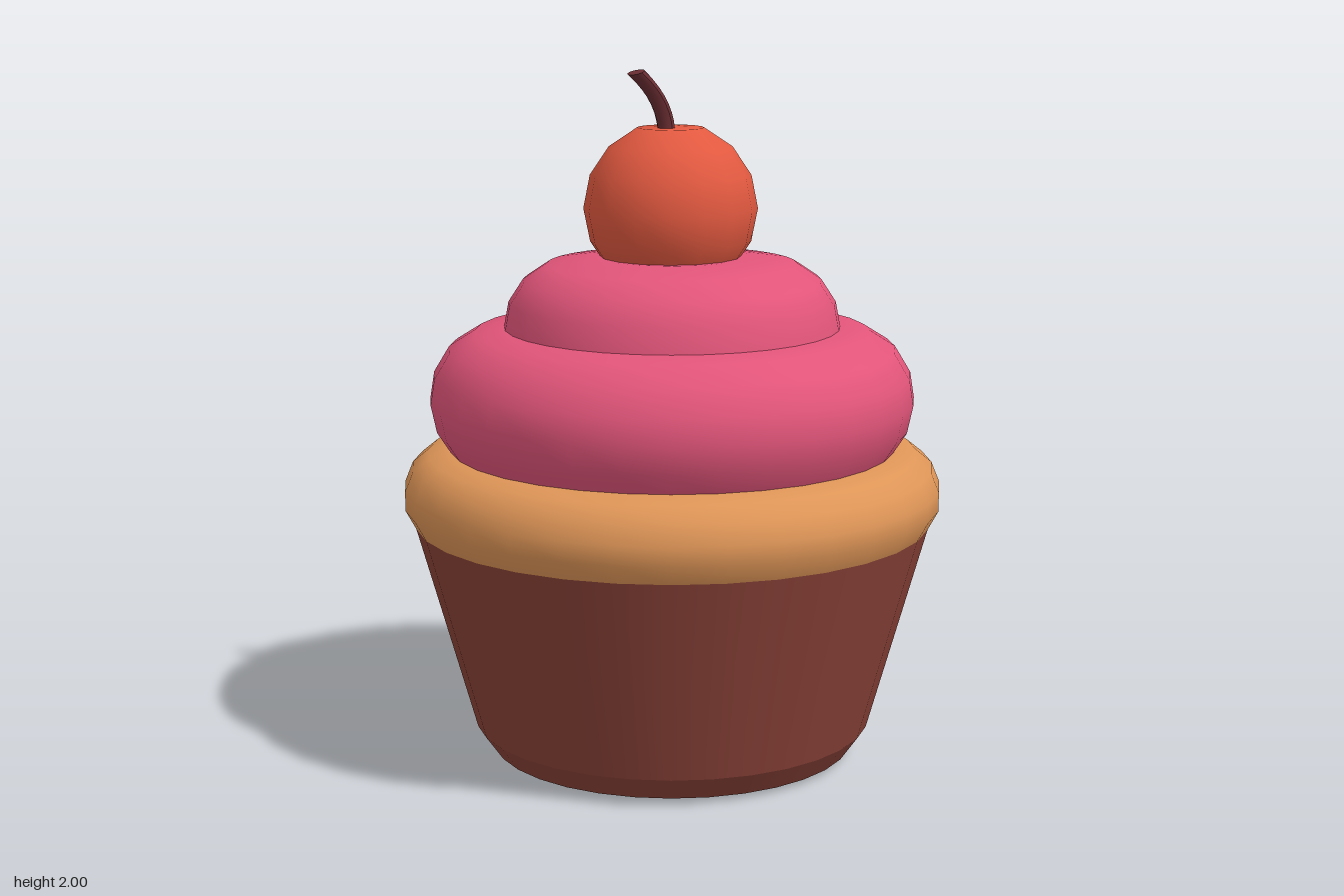
import * as THREE from 'three';

const SEGMENTS = 32;

function material(name, color) {
  const m = new THREE.MeshStandardMaterial({ color });
  m.name = name;
  return m;
}

// Smooth turned part from [radius, height] pairs, listed bottom to top
function turned(name, profile, mat) {
  const points = profile.map(([r, y]) => new THREE.Vector2(r, y));
  const mesh = new THREE.Mesh(new THREE.LatheGeometry(points, SEGMENTS), mat);
  mesh.name = name;
  return mesh;
}

export function createModel() {
  const group = new THREE.Group();
  group.name = 'cupcake';

  const wrapperBrown = material('wrapper brown', 0x8a4238);
  const cakeTan = material('cake tan', 0xde9557);
  const frostingPink = material('frosting pink', 0xe2557a);
  const cherryRed = material('cherry red', 0xe25940);
  const stemBrown = material('stem dark red', 0x6b2e33);

  // Paper wrapper: base disc, small bevel, flared wall
  group.add(
    turned('wrapperBase', [[0, 0], [0.53, 0.015]], wrapperBrown),
    turned('wrapperBevel', [[0.53, 0.015], [0.58, 0.085]], wrapperBrown),
    turned('wrapperWall', [[0.58, 0.085], [0.75, 0.69]], wrapperBrown),
  );

  // Cake rim bulging over the wrapper
  group.add(turned('cakeRim', [
    [0.75, 0.69], [0.78, 0.745], [0.78, 0.8], [0.757, 0.857],
    [0.71, 0.895], [0.64, 0.913], [0.5, 0.913],
  ], cakeTan));

  // Two tiers of frosting
  group.add(turned('lowerFrosting', [
    [0.64, 0.9], [0.685, 0.97], [0.702, 1.05], [0.69, 1.125],
    [0.645, 1.2], [0.57, 1.247], [0.47, 1.262], [0.3, 1.262],
  ], frostingPink));
  group.add(turned('upperFrosting', [
    [0.487, 1.25], [0.472, 1.33], [0.43, 1.395],
    [0.36, 1.442], [0.22, 1.464], [0, 1.464],
  ], frostingPink));

  // Cherry: a sphere with its top pole pressed flat
  const cherryGeometry = new THREE.SphereGeometry(0.25, 16, 8);
  const cherryPos = cherryGeometry.attributes.position;
  for (let i = 0; i < cherryPos.count; i++) {
    cherryPos.setY(i, Math.min(cherryPos.getY(i), 0.231));
  }
  const cherry = new THREE.Mesh(cherryGeometry, cherryRed);
  cherry.name = 'cherry';
  cherry.position.set(-0.003, 1.6, -0.003);
  group.add(cherry);

  // Stem: a thin cylinder swept sideways as it rises, with a slanted tip
  const height = 0.19;
  const stemGeometry = new THREE.CylinderGeometry(0.025, 0.025, height, 10, 8);
  const stemPos = stemGeometry.attributes.position;
  for (let i = 0; i < stemPos.count; i++) {
    const x = stemPos.getX(i);
    const t = stemPos.getY(i) / height + 0.5;
    stemPos.setXY(i, x - 0.022 - 0.12 * Math.pow(t, 2.2), 1.803 + height * t + 0.27 * x * t);
  }
  stemGeometry.computeVertexNormals();
  const stem = new THREE.Mesh(stemGeometry, stemBrown);
  stem.name = 'cherryStem';
  group.add(stem);

  return group;
}
